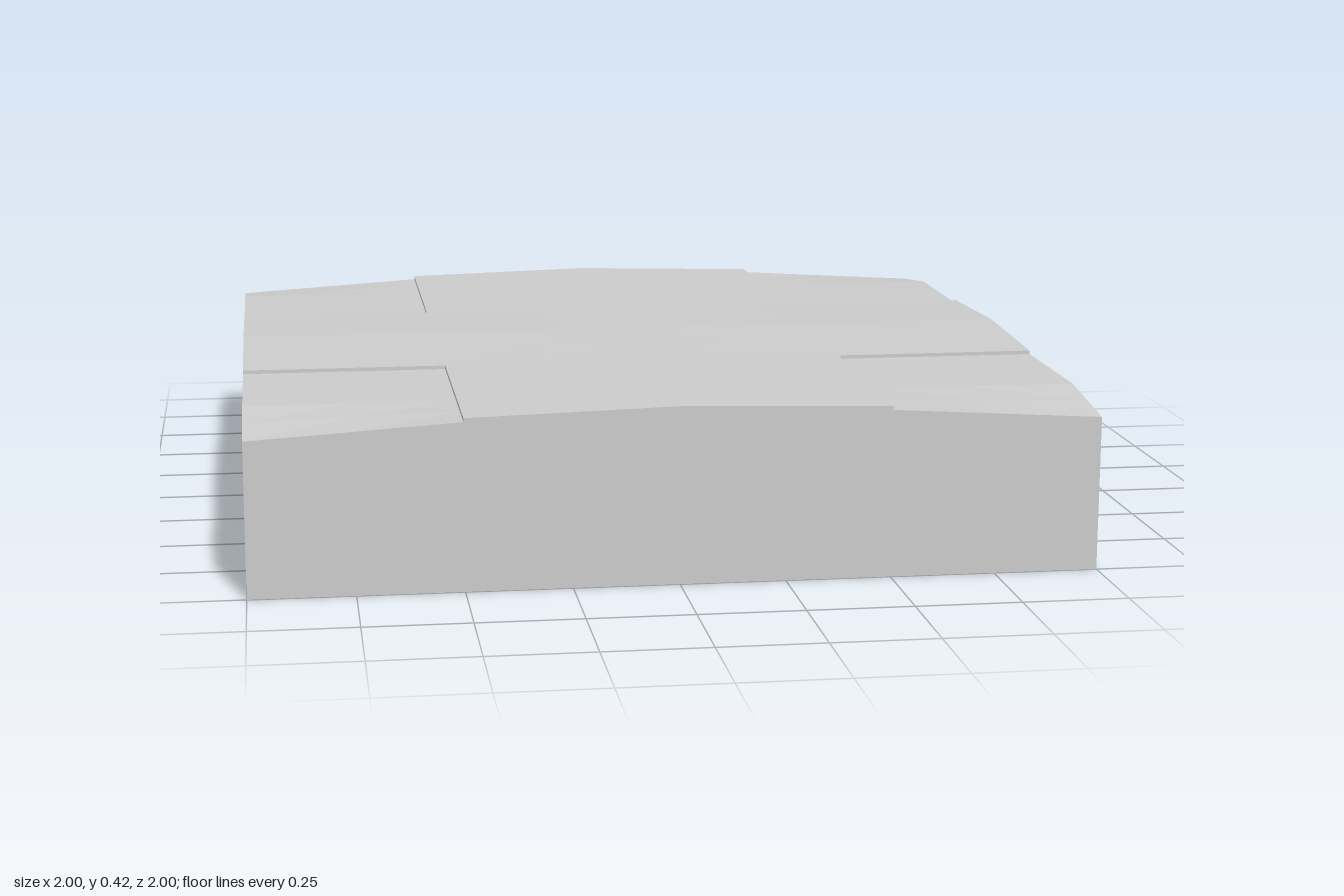
import * as THREE from 'three';

const PX = 0.5, PZ = 0.38, BEND = 0.76; // inner edges and fold line of the corner panels
const clamp01 = (v) => Math.min(1, Math.max(0, v));

// Gently crowned cross that stays level along both axes
const crossHeight = (x, z) =>
  0.424 - 0.014 * clamp01(Math.abs(x) / PX) * clamp01(Math.abs(z) / PZ);

// Sunken corner panel, level up to the fold and drooping to the corner
const panelHeight = (x, z) =>
  0.401 - 0.031 * clamp01((Math.abs(x) - PX) / (1 - PX)) * clamp01((Math.abs(z) - BEND) / (1 - BEND));

// Mirrored grid lines; a doubled line makes a vertical wall (panel step or slab side)
function gridLines(inner, outer) {
  const half = [
    ...inner.map((p) => ({ p, out: false, base: false })),
    ...outer.map((p) => ({ p, out: true, base: false })),
    { p: 1, out: true, base: true },
  ];
  const mirrored = half.slice(1).reverse().map((l) => ({ ...l, p: -l.p }));
  return [...mirrored, ...half];
}

function slabGeometry() {
  const cols = gridLines([0, PX / 2, PX], [PX, 0.75, 1]);
  const rows = gridLines([0, PZ / 2, PZ], [PZ, BEND, 0.88, 1]);
  const point = (c, r) => {
    const y = c.base || r.base ? 0
      : c.out && r.out ? panelHeight(c.p, r.p) : crossHeight(c.p, r.p);
    return new THREE.Vector3(c.p, y, r.p);
  };
  const positions = [];
  const triangle = (a, b, c) => {
    if (new THREE.Triangle(a, b, c).getArea() < 1e-7) return;
    for (const v of [a, b, c]) positions.push(v.x, v.y, v.z);
  };
  for (let i = 0; i < cols.length - 1; i++) {
    for (let j = 0; j < rows.length - 1; j++) {
      const a = point(cols[i], rows[j]), b = point(cols[i], rows[j + 1]);
      const c = point(cols[i + 1], rows[j + 1]), d = point(cols[i + 1], rows[j]);
      // Mirror the diagonal so all four quadrants match
      if ((cols[i].p + cols[i + 1].p) * (rows[j].p + rows[j + 1].p) >= 0) {
        triangle(a, b, c);
        triangle(a, c, d);
      } else {
        triangle(a, b, d);
        triangle(b, c, d);
      }
    }
  }
  const geometry = new THREE.BufferGeometry();
  geometry.setAttribute('position', new THREE.Float32BufferAttribute(positions, 3));
  geometry.computeVertexNormals();
  return geometry;
}

export function createModel() {
  const group = new THREE.Group();
  group.name = 'slab';
  const material = new THREE.MeshStandardMaterial({ color: 0xcccccc, flatShading: true });

  // Crowned top, recessed corners and sides
  const body = new THREE.Mesh(slabGeometry(), material);
  body.name = 'slabBody';

  // Flat underside
  const underside = new THREE.Mesh(new THREE.PlaneGeometry(2, 2).rotateX(Math.PI / 2), material);
  underside.name = 'underside';

  group.add(body, underside);
  return group;
}
